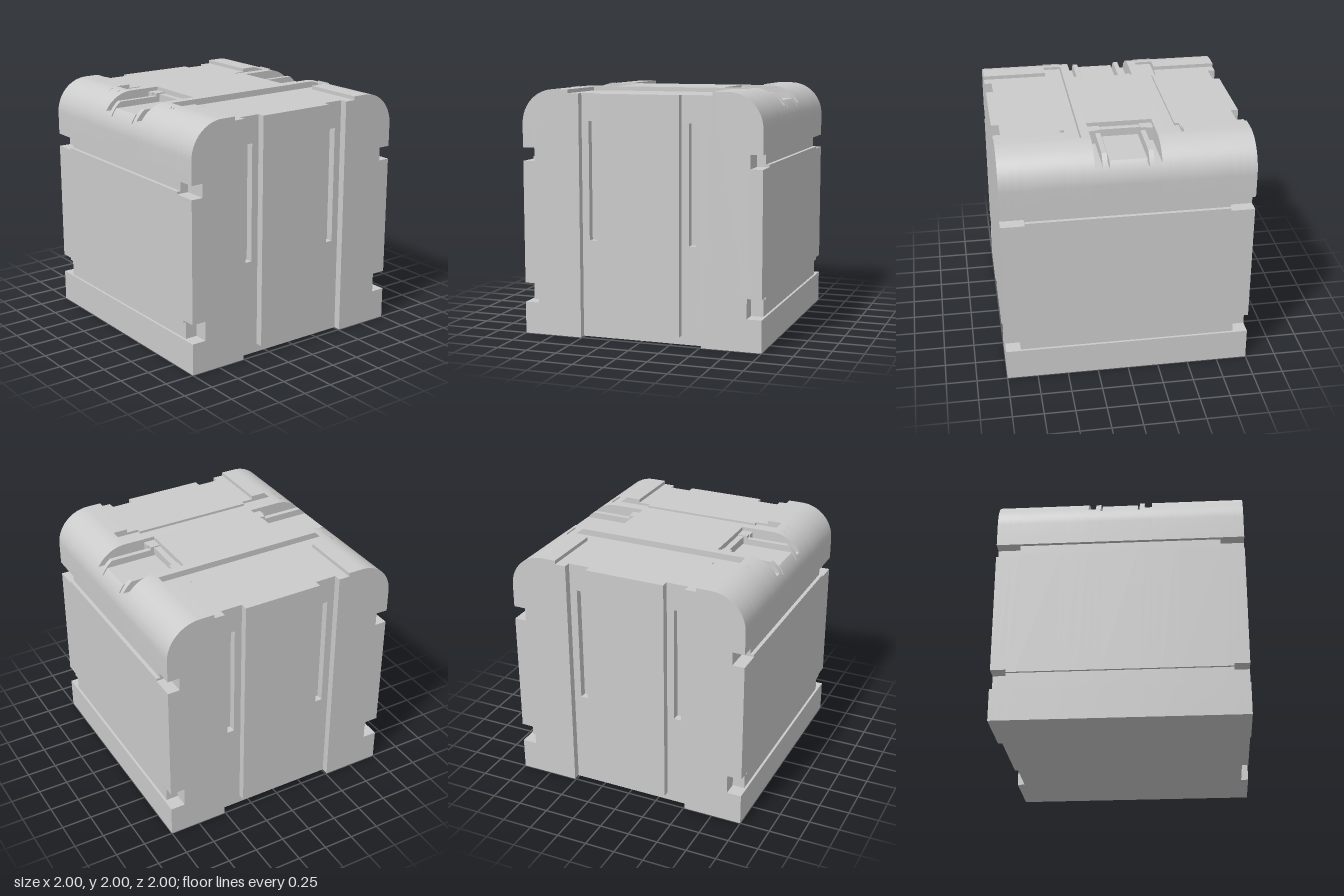
import * as THREE from 'three';
import { toCreasedNormals } from 'three/addons/utils/BufferGeometryUtils.js';

const R = 0.28; // radius of the rounded top front and back edges

// Front edge of a cross-section [z, y], from the base up the grooved face and round to height yEnd
function frontEdge(upperDeep, lowerDeep, yEnd = 2) {
  const [zl, yl] = lowerDeep ? [0.88, 0.42] : [0.98, 0.40];
  const [zu, yu] = upperDeep ? [0.90, 1.42] : [0.97, 1.44];
  const pts = [[1, 0], [1, 0.26], [zl, 0.26], [zl, yl], [1, yl],
    [1, yu], [zu, yu], [zu, 1.53], [1, 1.53]];
  const end = Math.asin(Math.min(1, (yEnd - 2 + R) / R));
  for (let i = 0; i <= 16; i++) {
    const a = end * i / 16;
    pts.push([1 - R + R * Math.cos(a), 2 - R + R * Math.sin(a)]);
  }
  return pts;
}

const toShape = (pts) => new THREE.Shape(pts.map(([z, y]) => new THREE.Vector2(z, y)));
const flip = (pts) => pts.map(([z, y]) => [-z, y]).reverse();
const rect = (z0, z1, y0, y1) => [[z0, y0], [z1, y0], [z1, y1], [z0, y1]];

export function createModel() {
  const model = new THREE.Group();
  const material = new THREE.MeshStandardMaterial({ color: 0xcccccc });

  // Extrude a z-y outline from x0 to x1
  function slab(name, pts, x0, x1, holes = []) {
    const shape = toShape(pts);
    holes.forEach((h) => shape.holes.push(toShape(h)));
    let geo = new THREE.ExtrudeGeometry(shape, { depth: x1 - x0, bevelEnabled: false });
    geo.rotateY(Math.PI / 2).translate(x0, 0, 0);
    geo = toCreasedNormals(geo, 0.35);
    const mesh = new THREE.Mesh(geo, material);
    mesh.name = name;
    model.add(mesh);
  }

  // Slab with matching front and back, repeated on the left and right
  function section(name, x0, x1, top, { upper = false, lower = false, yEnd = 2, holes = [] } = {}) {
    const half = [...frontEdge(upper, lower, yEnd), ...top];
    const pts = [...half, ...flip(half)];
    if (x0 === 0) return slab(name, pts, -x1, x1, holes);
    slab(name, pts, x0, x1, holes);
    slab(name, pts, -x1, -x0, holes);
  }

  // Latch pockets: floors of different depth, open to the front and back
  const pocket = (name, x0, x1, floor, zIn, ledge) =>
    section(name, x0, x1, [[zIn, floor], [zIn, ledge], [0.46, ledge], [0.46, 2]], { yEnd: floor });
  pocket('latchTongue', 0, 0.145, 1.9, 0.51, 1.96);
  pocket('latchSlit', 0.145, 0.16, 1.835, 0.51, 1.96);
  pocket('latchFinger', 0.16, 0.2, 1.945, 0.54, 1.97);
  pocket('latchSideCut', 0.2, 0.26, 1.86, 0.55, 1.97);

  // Top ribs and the long grooves beside them
  section('topRib', 0.26, 0.33, []);
  section('topGroove', 0.33, 0.44, [[0.79, 2], [0.79, 1.95]]);
  section('topGrooveEnd', 0.44, 0.475, [[0.79, 2], [0.79, 1.95], [0.5, 1.95], [0.5, 1.97]]);

  // Main body with the lowered top panels and deeper groove ends near the corners
  const panel = [[0.6, 2], [0.6, 1.97]];
  const slots = [rect(0.39, 0.45, 0.79, 1.75), rect(-0.45, -0.39, 0.79, 1.75)];
  section('body', 0.475, 0.81, panel);
  section('bodyUpperNotch', 0.81, 0.88, panel, { upper: true });
  section('bodySideSlots', 0.88, 0.94, panel, { upper: true, lower: true, holes: slots });

  // Outer side layer: centre panel between two vertical channels, and the corner posts
  const post = [...frontEdge(true, true), ...panel, [0.51, 1.97], [0.51, 0]];
  for (const [x0, x1] of [[0.94, 1], [-1, -0.94]]) {
    slab('sidePanel', rect(-0.33, 0.33, 0.07, 1.97), x0, x1);
    slab('frontPost', post, x0, x1);
    slab('backPost', flip(post), x0, x1);
  }
  return model;
}
